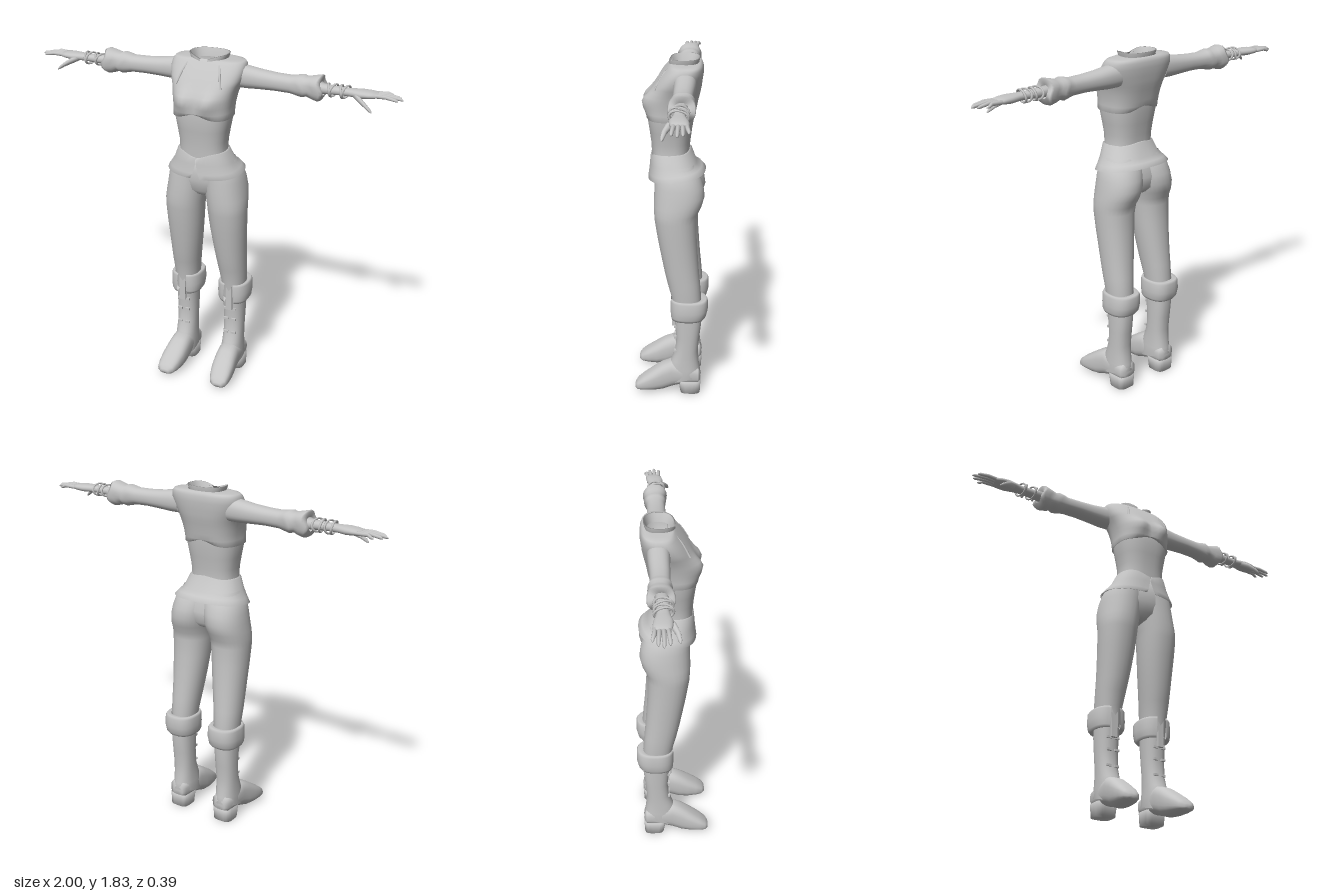
import * as THREE from 'three';

const grey = new THREE.MeshStandardMaterial({ color: 0xc4c4c4, side: THREE.DoubleSide });
grey.name = 'light grey';

const bell = (d, w) => Math.exp(-(d * d) / (w * w));
const spow = (v, e) => Math.sign(v) * Math.pow(Math.abs(v), e);

// Skin over rounded sections. Ring: [t, a0, a1, b0, b1, gap].
// axis y: a = x, b = z;  axis x: a = z, b = y;  axis z: a = y, b = x.
// Rings run in rising t; gap is the half angle left open at the front.
function loft(axis, rings, { n = 28, e = 0.85, caps = false, deform = null } = {}) {
  const open = rings.some(r => r.length > 5);
  const cols = open ? n + 1 : n;
  const pos = [], idx = [];
  const put = (t, a, b) => {
    const p = axis === 'y' ? new THREE.Vector3(a, t, b)
      : axis === 'x' ? new THREE.Vector3(t, b, a) : new THREE.Vector3(b, a, t);
    if (deform) deform(p);
    pos.push(p.x, p.y, p.z);
  };
  for (const [t, a0, a1, b0, b1, gap = 0] of rings) {
    for (let j = 0; j < cols; j++) {
      const ang = Math.PI / 2 + gap + (j / n) * (2 * Math.PI - 2 * gap);
      put(t, (a0 + a1) / 2 + (a1 - a0) / 2 * spow(Math.cos(ang), e),
        (b0 + b1) / 2 + (b1 - b0) / 2 * spow(Math.sin(ang), e));
    }
  }
  for (let i = 0; i < rings.length - 1; i++) {
    for (let j = 0; j < n; j++) {
      const k = (j + 1) % cols, p = i * cols, q = p + cols;
      idx.push(p + j, q + j, p + k, q + j, q + k, p + k);
    }
  }
  if (caps) {
    [0, rings.length - 1].forEach((i, end) => {
      const [t, a0, a1, b0, b1] = rings[i];
      const c = pos.length / 3;
      put(t, (a0 + a1) / 2, (b0 + b1) / 2);
      for (let j = 0; j < n; j++) {
        const p = i * cols + j, q = i * cols + (j + 1) % cols;
        if (end) idx.push(c, q, p); else idx.push(c, p, q);
      }
    });
  }
  const g = new THREE.BufferGeometry();
  g.setAttribute('position', new THREE.Float32BufferAttribute(pos, 3));
  g.setIndex(idx);
  g.computeVertexNormals();
  return g;
}

// Mirror a geometry across x = 0, keeping faces outward
function mirrored(src) {
  const g = src.clone();
  for (const name of ['position', 'normal']) {
    const at = g.attributes[name];
    for (let i = 0; i < at.count; i++) at.setX(i, -at.getX(i));
  }
  const ix = g.index.array;
  for (let i = 0; i < ix.length; i += 3) [ix[i], ix[i + 1]] = [ix[i + 1], ix[i]];
  return g;
}

export function createModel() {
  const model = new THREE.Group();
  model.name = 'outfit';
  const add = (name, geo) => {
    const m = new THREE.Mesh(geo, grey);
    m.name = name;
    model.add(m);
  };
  const pair = (name, geo) => {
    add(name + 'Left', geo);
    add(name + 'Right', mirrored(geo));
  };
  const sym = (y, w, zb, zf, ...gap) => [y, -w, w, zb, zf, ...gap];

  // Bodice with bust and a peaked lower hem
  add('bodice', loft('y', [
    sym(1.53, 0.144, -0.104, 0.125), sym(1.528, 0.153, -0.113, 0.137),
    sym(1.56, 0.153, -0.118, 0.135), sym(1.59, 0.155, -0.124, 0.132),
    sym(1.62, 0.16, -0.13, 0.128), sym(1.645, 0.165, -0.136, 0.122),
    sym(1.67, 0.172, -0.142, 0.11), sym(1.695, 0.182, -0.147, 0.098),
    sym(1.72, 0.192, -0.15, 0.083), sym(1.76, 0.2, -0.156, 0.055),
    sym(1.79, 0.197, -0.154, 0.03), sym(1.805, 0.185, -0.148, 0.018),
    sym(1.81, 0.14, -0.14, 0.012), sym(1.812, 0.098, -0.132, 0.008),
  ], {
    n: 48, e: 0.75, deform: p => {
      if (p.z > 0) p.z += 0.034 * bell(Math.abs(p.x) - 0.07, 0.055) * bell(p.y - 1.62, 0.05);
      if (p.y < 1.54) p.y += 0.03 * bell(p.x, 0.07);
    },
  }));

  // Standing collar, lower at the throat
  add('collar', loft('y', [
    sym(1.8, 0.092, -0.13, 0.016, 0.05), sym(1.834, 0.104, -0.138, 0.022, 0.14),
    sym(1.834, 0.098, -0.132, 0.014, 0.14), sym(1.79, 0.084, -0.122, 0.004, 0.05),
  ], { n: 32, e: 0.8, deform: p => { if (p.z > -0.06) p.y -= 0.025 * bell(p.x, 0.06) * (p.z + 0.06) / 0.08; } }));

  // Lapel folds running down from the collar
  pair('lapelFold', new THREE.TubeGeometry(new THREE.CatmullRomCurve3([
    [0.08, 1.805, 0.004], [0.1, 1.76, 0.047], [0.122, 1.69, 0.088],
  ].map(p => new THREE.Vector3(...p))), 8, 0.006, 6));

  add('corset', loft('y', [
    sym(1.31, 0.13, -0.088, 0.108), sym(1.35, 0.124, -0.086, 0.11),
    sym(1.4, 0.126, -0.09, 0.113), sym(1.46, 0.136, -0.098, 0.121),
    sym(1.52, 0.147, -0.108, 0.13), sym(1.57, 0.148, -0.11, 0.128),
  ], { n: 36, e: 0.8 }));

  // Flared peplum with a front notch
  add('peplum', loft('y', [
    sym(1.227, 0.197, -0.16, 0.122, 0.09), sym(1.225, 0.206, -0.172, 0.13, 0.09),
    sym(1.25, 0.188, -0.152, 0.126, 0.05), sym(1.285, 0.162, -0.124, 0.12, 0.005),
    sym(1.345, 0.136, -0.096, 0.118, 0.005), sym(1.348, 0.124, -0.085, 0.108, 0.005),
  ], {
    n: 40, e: 0.85, deform: p => {
      if (p.y < 1.26) p.y -= p.z * 0.12;
      if (p.y > 1.3) p.y += p.z > 0 ? -0.03 * bell(p.x, 0.06) : 0.016 * bell(p.x, 0.08);
    },
  }));

  // Trousers: hips and two legs
  add('hips', loft('y', [
    sym(1.075, 0.025, -0.06, 0.0), sym(1.09, 0.075, -0.105, 0.045),
    sym(1.12, 0.14, -0.135, 0.075), sym(1.18, 0.18, -0.142, 0.088), sym(1.29, 0.15, -0.115, 0.09),
  ], { n: 32, caps: true }));
  pair('trouserLeg', loft('y', [
    [0.48, 0.08, 0.2, -0.155, -0.005], [0.57, 0.072, 0.209, -0.157, 0.002],
    [0.65, 0.062, 0.212, -0.15, 0.024], [0.72, 0.052, 0.214, -0.143, 0.04],
    [0.8, 0.041, 0.217, -0.137, 0.056], [0.9, 0.029, 0.222, -0.13, 0.075],
    [1.0, 0.02, 0.226, -0.128, 0.091], [1.04, 0.015, 0.226, -0.135, 0.094],
    [1.08, 0.006, 0.223, -0.155, 0.095], [1.13, -0.004, 0.216, -0.169, 0.094],
    [1.18, -0.012, 0.208, -0.162, 0.092], [1.23, -0.02, 0.195, -0.145, 0.09],
    [1.29, -0.02, 0.16, -0.11, 0.085],
  ], { e: 0.92 }));

  // Boots: turned-down cuff, shaft, foot, heel and lacing
  pair('bootCuff', loft('y', [
    [0.465, 0.085, 0.2, -0.16, -0.012, 0.3], [0.445, 0.066, 0.219, -0.172, 0.002, 0.3],
    [0.46, 0.057, 0.228, -0.184, 0.006, 0.28], [0.5, 0.053, 0.232, -0.194, 0.008, 0.25],
    [0.55, 0.055, 0.229, -0.193, 0.008, 0.22], [0.562, 0.062, 0.222, -0.185, 0.004, 0.22],
    [0.558, 0.074, 0.208, -0.158, -0.004, 0.22],
  ], { n: 32, e: 0.8 }));
  pair('bootTongue', new THREE.BoxGeometry(0.034, 0.16, 0.016).translate(0.142, 0.48, -0.01));
  pair('bootShaft', loft('y', [
    [0.082, 0.09, 0.197, -0.15, 0.02], [0.08, 0.082, 0.204, -0.16, 0.028],
    [0.14, 0.085, 0.201, -0.153, 0.022], [0.19, 0.087, 0.199, -0.146, 0.002],
    [0.25, 0.088, 0.198, -0.142, -0.02], [0.33, 0.086, 0.2, -0.15, -0.024],
    [0.42, 0.084, 0.202, -0.16, -0.016], [0.53, 0.082, 0.202, -0.16, -0.006],
  ], { deform: p => { if (p.y < 0.1) p.y -= (p.z + 0.07) * 0.27; } }));
  pair('bootFoot', loft('z', [
    [-0.156, 0.07, 0.12, 0.11, 0.175], [-0.145, 0.055, 0.15, 0.09, 0.197],
    [-0.05, 0.045, 0.17, 0.087, 0.203], [0.0, 0.03, 0.185, 0.086, 0.205],
    [0.05, 0.012, 0.165, 0.086, 0.21], [0.1, 0.008, 0.132, 0.089, 0.215],
    [0.15, 0.01, 0.097, 0.1, 0.215], [0.185, 0.014, 0.068, 0.115, 0.208],
    [0.2, 0.022, 0.048, 0.138, 0.188],
  ], { e: 0.75, caps: true }));
  pair('bootHeel', loft('y', [
    [0, 0.092, 0.2, -0.156, -0.048], [0.07, 0.088, 0.203, -0.16, -0.035],
  ], { e: 0.55, caps: true }));
  [0.25, 0.335, 0.4].forEach((y, i) => {
    for (const dx of [-0.022, 0.022]) {
      pair('bootLace' + i, new THREE.BoxGeometry(0.026, 0.012, 0.012).translate(0.142 + dx, y, -0.02));
    }
  });

  // Sleeves gathered into a flared end
  pair('sleeve', loft('x', [
    [0.15, -0.122, -0.01, 1.67, 1.79], [0.21, -0.122, -0.012, 1.67, 1.782],
    [0.28, -0.118, -0.015, 1.674, 1.772], [0.36, -0.114, -0.016, 1.677, 1.765],
    [0.44, -0.114, -0.018, 1.675, 1.763], [0.48, -0.121, -0.013, 1.667, 1.77],
    [0.505, -0.127, -0.01, 1.662, 1.774], [0.525, -0.119, -0.017, 1.669, 1.767],
    [0.555, -0.127, -0.01, 1.66, 1.775], [0.59, -0.132, -0.002, 1.652, 1.784],
    [0.602, -0.128, -0.006, 1.656, 1.78], [0.6, -0.1, -0.03, 1.685, 1.75],
  ], { deform: p => { if (p.x > 0.46) p.x += 0.01 * Math.sin(p.y * 60); } }));

  // Bracelets
  [[0.637, 0.25], [0.658, -0.2], [0.7, 0.15], [0.72, -0.18]].forEach(([x, tilt], i) => {
    const g = new THREE.TorusGeometry(1, 0.15, 6, 20).scale(0.044, 0.031, 0.04);
    pair('bracelet' + i, g.rotateY(Math.PI / 2 + tilt).rotateZ(tilt).translate(x, 1.718, -0.058));
  });

  // Hand, fingers and thumb
  pair('hand', loft('x', [
    [0.57, -0.095, -0.03, 1.692, 1.745], [0.65, -0.091, -0.031, 1.697, 1.74],
    [0.72, -0.089, -0.033, 1.7, 1.737], [0.76, -0.097, -0.026, 1.7, 1.738],
    [0.8, -0.107, -0.018, 1.698, 1.739], [0.84, -0.111, -0.022, 1.702, 1.737],
    [0.875, -0.109, -0.032, 1.707, 1.732],
  ], { n: 20, caps: true }));
  const digit = (name, path) => pair(name, loft('x', path.map(([x, y, z, r]) =>
    [x, z - r, z + r, y - r, y + r]), { n: 8, e: 1, caps: true }));
  [[0.95, -0.112], [0.985, -0.088], [1.0, -0.064], [0.98, -0.038]].forEach(([tip, z], i) => {
    const z0 = -0.1 + i * 0.019;
    digit('finger' + i, [[0.86, 1.72, z0, 0.0105], [0.92, 1.722, (z0 + z) / 2, 0.01],
      [tip - 0.012, 1.714, z, 0.008], [tip, 1.711, z, 0.003]]);
  });
  digit('thumb', [[0.765, 1.714, -0.04, 0.014], [0.8, 1.7, -0.018, 0.016],
    [0.835, 1.68, 0, 0.012], [0.86, 1.662, 0.007, 0.009], [0.87, 1.654, 0.009, 0.003]]);

  return model;
}
